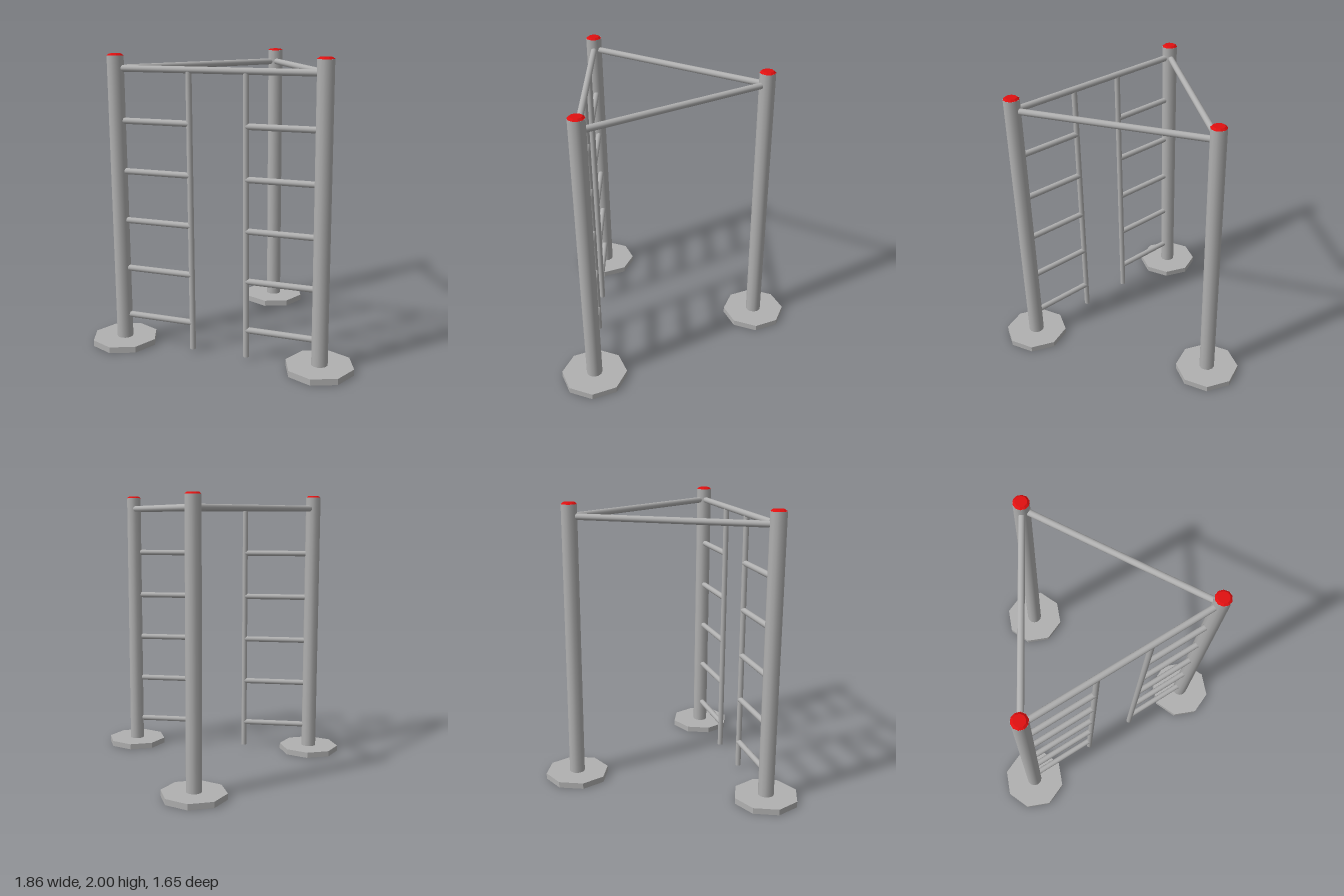
import * as THREE from 'three';

export function createModel() {
  const model = new THREE.Group();
  model.name = 'climbingFrame';

  const steel = new THREE.MeshStandardMaterial({ color: 0xb0b0b0 });
  steel.name = 'grey steel';
  const concrete = new THREE.MeshStandardMaterial({ color: 0xb0b0b0, flatShading: true });
  concrete.name = 'grey base';
  const red = new THREE.MeshStandardMaterial({ color: 0xe01010, flatShading: true });
  red.name = 'red cap';

  const add = (name, geometry, material, x, y, z) => {
    const mesh = new THREE.Mesh(geometry, material);
    mesh.name = name;
    mesh.position.set(x, y, z);
    model.add(mesh);
    return mesh;
  };

  // Round tube between two points
  const up = new THREE.Vector3(0, 1, 0);
  const tube = (name, a, b, radius) => {
    const from = new THREE.Vector3(...a), to = new THREE.Vector3(...b);
    const dir = to.clone().sub(from);
    const mid = from.clone().add(to).multiplyScalar(0.5);
    const geometry = new THREE.CylinderGeometry(radius, radius, dir.length(), 12);
    add(name, geometry, steel, mid.x, mid.y, mid.z)
      .quaternion.setFromUnitVectors(up, dir.normalize());
  };

  // Three posts, each with an octagonal foot and a shallow red cap
  const frontZ = 0.595, barY = 1.905;
  const posts = [
    ['right', -0.705, frontZ],
    ['left', 0.703, frontZ],
    ['back', 0.012, -0.595],
  ];
  for (const [side, x, z] of posts) {
    add(side + 'Foot', new THREE.CylinderGeometry(0.228, 0.228, 0.042, 8), concrete, x, 0.021, z);
    tube(side + 'Post', [x, 0.03, z], [x, 1.988, z], 0.055);
    add(side + 'Cap', new THREE.CylinderGeometry(0.04, 0.055, 0.012, 10), red, x, 1.994, z);
  }

  // Top bars joining the posts in a triangle
  posts.forEach(([side, x, z], i) => {
    const [, nx, nz] = posts[(i + 1) % 3];
    tube(side + 'TopBar', [x, barY, z], [nx, barY, nz], 0.022);
  });

  // Two ladders: an inner upright and five rungs out to each front post
  for (const [side, uprightX, postX] of [['right', -0.186, -0.705], ['left', 0.2, 0.703]]) {
    tube(side + 'Upright', [uprightX, 0.018, frontZ], [uprightX, barY, frontZ], 0.02);
    for (let i = 0; i < 5; i++) {
      const y = 0.207 + i * 0.339;
      tube(side + 'Rung', [uprightX, y, frontZ], [postX, y, frontZ], 0.021);
    }
  }

  return model;
}
